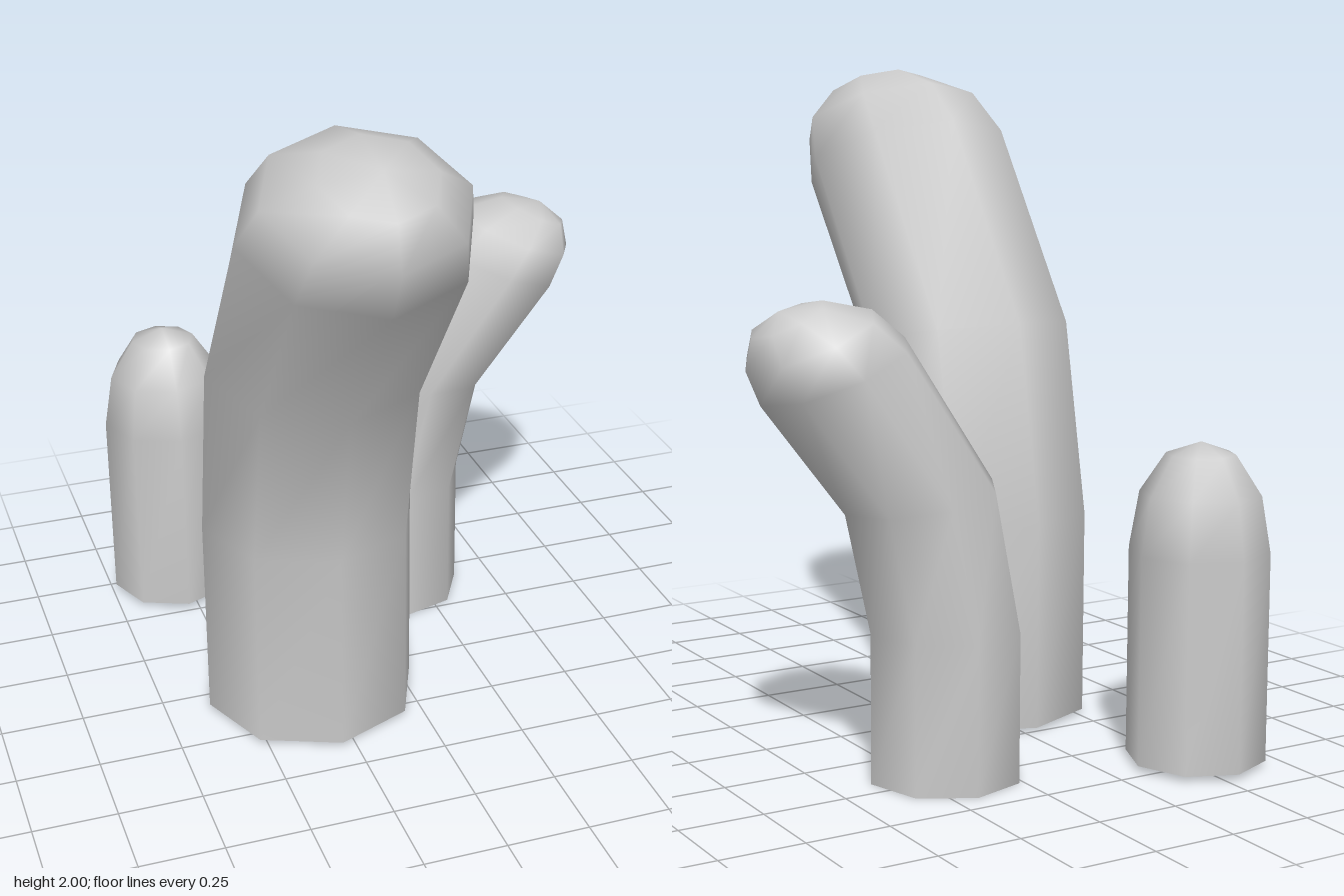
import * as THREE from 'three';

const SIDES = 8;

// Cross-sections as [forward offset, height, radius, forward tilt]; the last one is the tip
const BENT = [
  [0, 0, 0.327, 0],
  [0, 0.625, 0.327, 0],
  [0.112, 1.175, 0.328, 0.15],
  [0.482, 1.705, 0.328, 0.38],
  [0.582, 1.833, 0.286, 0.39],
  [0.674, 1.918, 0.162, 0.43],
  [0.71, 1.95, 0, 0.43],
];
const STRAIGHT = [
  [0, 0, 0.203, 0],
  [0, 0.61, 0.203, 0],
  [0, 0.775, 0.175, 0],
  [0, 0.89, 0.1, 0],
  [0, 0.925, 0, 0],
];

// Tube skinned over the rings, closed by a fan at the tip and open underneath
function stalkGeometry(sections) {
  const positions = [];
  const index = [];
  const rings = sections.slice(0, -1);
  for (const [z, y, r, tilt] of rings) {
    for (let i = 0; i < SIDES; i++) {
      const a = (i / SIDES) * Math.PI * 2;
      const s = r * Math.sin(a);
      positions.push(r * Math.cos(a), y - s * Math.sin(tilt), z + s * Math.cos(tilt));
    }
  }
  const [tipZ, tipY] = sections[sections.length - 1];
  const tip = positions.length / 3;
  positions.push(0, tipY, tipZ);

  for (let j = 0; j < rings.length; j++) {
    for (let i = 0; i < SIDES; i++) {
      const a = j * SIDES + i;
      const b = j * SIDES + ((i + 1) % SIDES);
      if (j === rings.length - 1) index.push(a, tip, b);
      else index.push(a, a + SIDES, b, b, a + SIDES, b + SIDES);
    }
  }
  const geometry = new THREE.BufferGeometry();
  geometry.setAttribute('position', new THREE.Float32BufferAttribute(positions, 3));
  geometry.setIndex(index);
  geometry.computeVertexNormals();
  return geometry;
}

export function createModel() {
  const group = new THREE.Group();
  group.name = 'stalkCluster';
  const material = new THREE.MeshStandardMaterial({ color: 0xcccccc, side: THREE.DoubleSide });

  const addStalk = (name, sections, position, turn = 0, scale = 1) => {
    const mesh = new THREE.Mesh(stalkGeometry(sections), material);
    mesh.name = name;
    mesh.position.set(...position);
    mesh.rotation.y = turn;
    mesh.scale.setScalar(scale);
    group.add(mesh);
  };

  // Tall stalk leaning forward, medium one leaning left, short upright one behind
  addStalk('tallStalk', BENT, [-0.29, 0.015, 0.073]);
  addStalk('mediumStalk', BENT, [0.157, 0.003, -0.453], 1.465, 0.69);
  addStalk('shortStalk', STRAIGHT, [-0.535, 0.02, -0.715]);
  return group;
}
